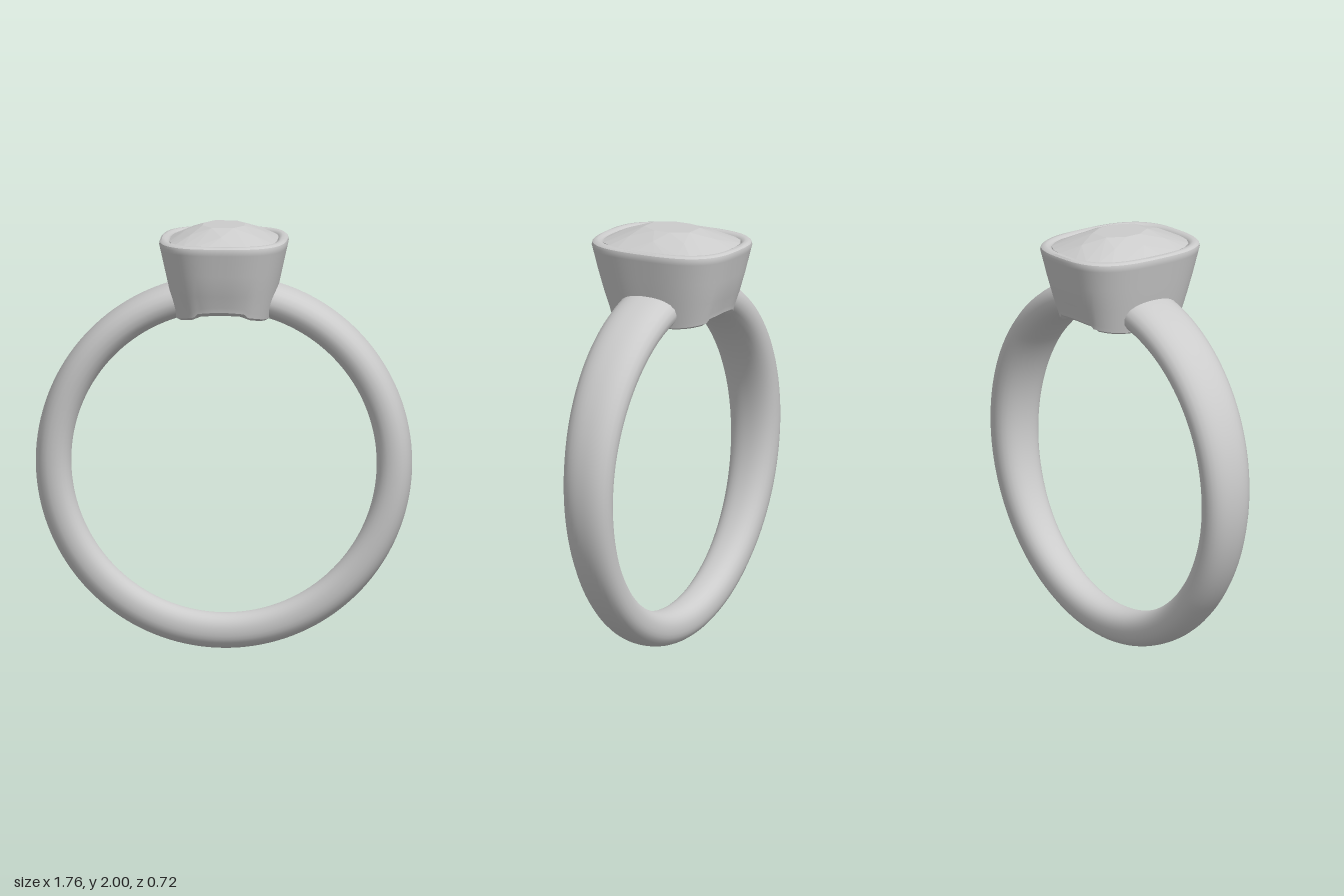
import * as THREE from 'three';
import { toCreasedNormals } from 'three/addons/utils/BufferGeometryUtils.js';
import { ConvexGeometry } from 'three/addons/geometries/ConvexGeometry.js';

const CENTRE = 0.88;   // height of the finger hole's centre
const INNER = 0.715;   // finger hole radius
const OUTER = 0.88;    // outer band radius
const material = new THREE.MeshStandardMaterial({ color: 0xcccccc });

// Point at angle t on a superellipse with half axes a, b
function cushion(t, a, b, n = 2.9) {
  const c = Math.cos(t), s = Math.sin(t);
  const r = (Math.abs(c / a) ** n + Math.abs(s / b) ** n) ** (-1 / n);
  return [r * c, r * s];
}

// Height of the finger hole's surface above x
const fingerHeight = (x) => CENTRE + Math.sqrt(INNER * INNER - x * x);

// Skins a grid of points: rows are cross-sections, each a closed loop
function skin(rows, closed, crease) {
  const n = rows[0].length, index = [];
  const last = closed ? rows.length : rows.length - 1;
  for (let i = 0; i < last; i++) {
    for (let j = 0; j < n; j++) {
      const k = (j + 1) % n, up = ((i + 1) % rows.length) * n;
      index.push(i * n + j, up + j, i * n + k, up + j, up + k, i * n + k);
    }
  }
  const geometry = new THREE.BufferGeometry();
  geometry.setAttribute('position', new THREE.Float32BufferAttribute(rows.flat(2), 3));
  geometry.setIndex(index);
  geometry.computeVertexNormals();
  return toCreasedNormals(geometry, crease);
}

// Band: rounded section, widening towards the top, open under the setting
function bandGeometry() {
  const start = 0.215, steps = 140, sides = 32, rows = [];
  const mid = (INNER + OUTER) / 2, half = (OUTER - INNER) / 2;
  for (let i = -1; i <= steps + 1; i++) {
    const scale = i < 0 || i > steps ? 0 : 1; // end caps close to a point
    const u = THREE.MathUtils.clamp(i / steps, 0, 1);
    const a = start + u * (2 * Math.PI - 2 * start);
    const width = 0.12 + 0.032 * Math.cos(a);
    const row = [];
    for (let j = 0; j < sides; j++) {
      const [dr, dz] = cushion((j / sides) * Math.PI * 2, half, width, 2.35);
      const r = mid + dr * scale;
      row.push([r * Math.sin(a), CENTRE + r * Math.cos(a), -dz * scale]);
    }
    rows.push(row);
  }
  return skin(rows, false, 0.7);
}

// Bezel: tapered cushion-shaped cup, its foot cut to the finger hole
function bezelGeometry() {
  // half width, half depth, height (measured from the finger hole when foot is true)
  const profile = [
    [0.125, 0.165, 0.012, true],
    [0.15, 0.19, 0, true],
    [0.208, 0.262, 0, true],
    [0.221, 0.276, 0.012, true],
    [0.226, 0.281, 0.035, true],
    [0.252, 0.305, 1.7],
    [0.274, 0.332, 1.8],
    [0.296, 0.355, 1.9],
    [0.3, 0.36, 1.918],
    [0.297, 0.357, 1.932],
    [0.288, 0.348, 1.94],
    [0.272, 0.332, 1.942],
    [0.259, 0.319, 1.936],
    [0.25, 0.31, 1.924],
    [0.246, 0.306, 1.89],
    [0.165, 0.215, 1.73],
  ];
  const sides = 96;
  const rows = profile.map(([a, b, h, foot], i) => {
    const row = [];
    for (let j = 0; j < sides; j++) {
      const [x, z] = cushion((j / sides) * Math.PI * 2, a, b);
      // shallow relief in the middle of the front and back foot edge
      const relief = i > 1 && i < 5 && Math.abs(x) < 0.125 ? 0.015 : 0;
      row.push([x, foot ? fingerHeight(x) + h + relief : h, z]);
    }
    return row;
  });
  return skin(rows, true, 0.6);
}

// Gem: convex faceted stone from staggered rings of corners
function gemGeometry() {
  const rings = [
    // half width, half depth, height, corners, angular offset in steps
    [0.1, 0.135, 2.0, 8, 0.5],
    [0.18, 0.228, 1.971, 8, 0],
    [0.252, 0.312, 1.932, 32, 0],
    [0.252, 0.312, 1.918, 32, 0],
    [0.15, 0.19, 1.765, 8, 0.5],
    [0.05, 0.065, 1.66, 8, 0],
  ];
  const points = [new THREE.Vector3(0, 1.635, 0)];
  for (const [a, b, y, n, offset] of rings) {
    for (let j = 0; j < n; j++) {
      const [x, z] = cushion(((j + offset) / n) * Math.PI * 2, a, b, n > 8 ? 2.9 : 2.3);
      points.push(new THREE.Vector3(x, y, z));
    }
  }
  return new ConvexGeometry(points);
}

export function createModel() {
  const model = new THREE.Group();
  model.name = 'ring';
  const parts = { band: bandGeometry(), bezel: bezelGeometry(), gem: gemGeometry() };
  for (const [name, geometry] of Object.entries(parts)) {
    const mesh = new THREE.Mesh(geometry, material);
    mesh.name = name;
    model.add(mesh);
  }
  return model;
}
